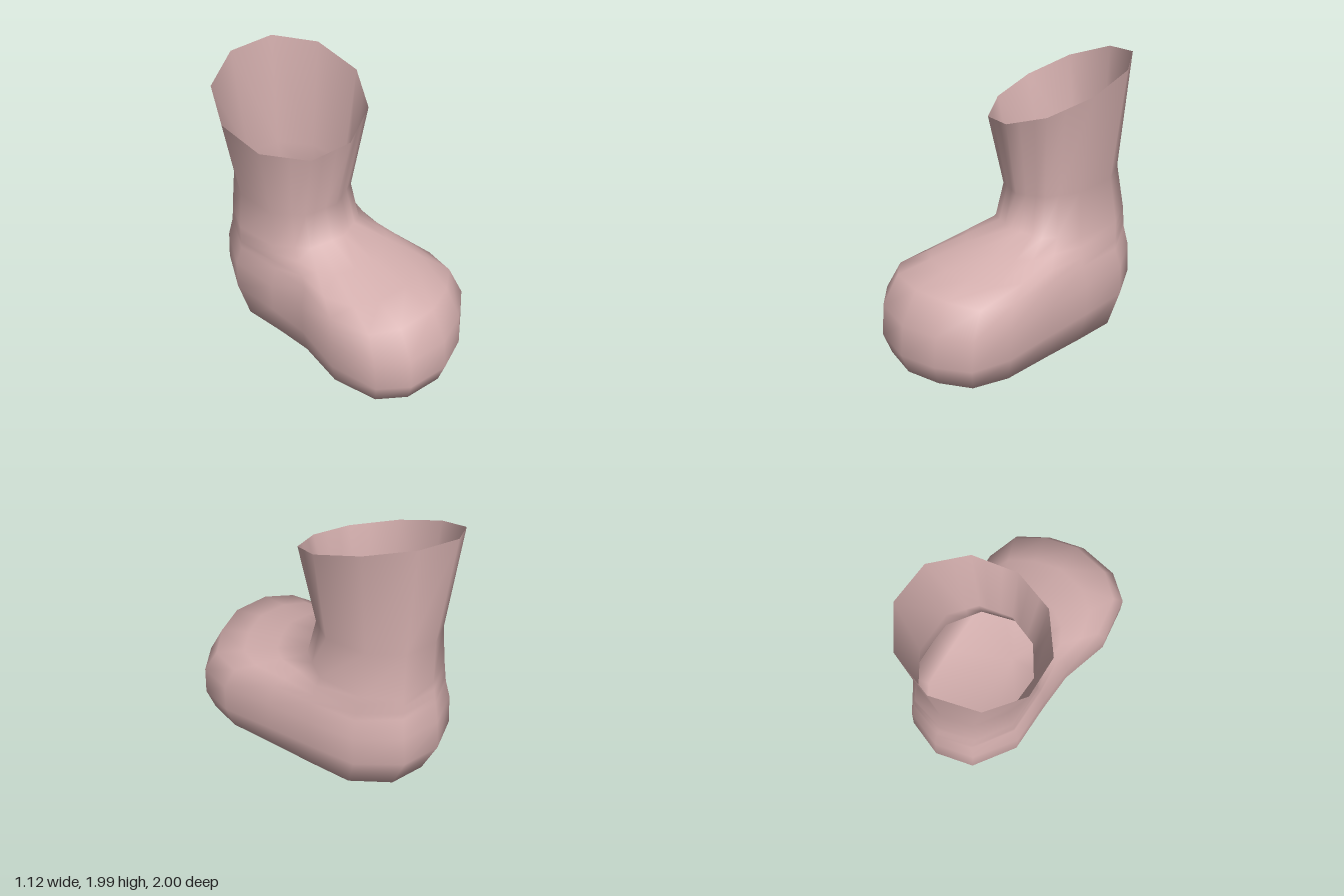
import * as THREE from 'three';

// Outline of the foot from above as [x, z], from the toe tip round by +x to the heel and back
const FOOT = [
  [0, 1], [0.27, 0.92], [0.49, 0.77], [0.56, 0.5], [0.53, 0.1], [0.51, -0.25], [0.48, -0.62], [0.28, -0.91],
  [0, -1], [-0.28, -0.92], [-0.47, -0.62], [-0.46, -0.25], [-0.465, 0.06], [-0.56, 0.44], [-0.5, 0.79], [-0.31, 0.95],
];

// Where each foot column meets the ten-sided shaft
const COLUMNS = [0, 0.35, 0.7, 1, 1.4, 2, 3, 4, 5, 6, 7, 8, 8.6, 9, 9.3, 9.65];

// Ten-sided shaft sections as [x, y, z]
const INSTEP = [
  [0, 0.81, 0.04], [0.25, 0.8, -0.04], [0.4, 0.8, -0.27], [0.4, 0.81, -0.62], [0.25, 0.81, -0.85],
  [-0.02, 0.81, -0.91], [-0.27, 0.8, -0.84], [-0.415, 0.79, -0.6], [-0.41, 0.79, -0.28], [-0.26, 0.8, -0.04],
];
const ANKLE = [
  [-0.01, 1.06, -0.025], [0.22, 1.09, -0.095], [0.36, 1.12, -0.29], [0.35, 1.14, -0.6], [0.2, 1.14, -0.82],
  [-0.04, 1.13, -0.89], [-0.25, 1.1, -0.82], [-0.385, 1.07, -0.6], [-0.385, 1.05, -0.3], [-0.24, 1.05, -0.1],
];
const RIM = [
  [0.015, 1.61, 0.085], [0.31, 1.71, -0.02], [0.475, 1.84, -0.28], [0.445, 1.95, -0.62], [0.24, 1.99, -0.88],
  [-0.07, 1.95, -0.97], [-0.37, 1.84, -0.85], [-0.525, 1.71, -0.58], [-0.495, 1.61, -0.26], [-0.28, 1.57, 0.005],
];

const mix = (a, b, t) => a.map((v, i) => v + (b[i] - v) * t);
const shaftRing = (pts) => COLUMNS.map((c) => mix(pts[Math.floor(c)], pts[(Math.floor(c) + 1) % 10], c % 1));

// Scaled foot outline; height runs from yToe to yHeel and drops by crown at the sides
const footRing = (sx, sFront, sBack, yToe, yHeel, crown = 0) =>
  FOOT.map(([x, z]) => [
    x * sx,
    THREE.MathUtils.lerp(yHeel, yToe, (z + 1) / 2) - crown * x * x,
    z * (z > 0 ? sFront : sBack),
  ]);

function loft(rings) {
  const n = rings[0].length;
  const positions = rings.flat(2);
  const index = [];
  for (let r = 0; r < rings.length - 1; r++) {
    for (let j = 0; j < n; j++) {
      const k = (j + 1) % n;
      const a = r * n + j, b = r * n + k;
      index.push(a, b, b + n, a, b + n, a + n);
    }
  }
  // Flat sole closing the first ring
  const centre = positions.length / 3;
  positions.push(0, 0, 0);
  for (let j = 0; j < n; j++) index.push(centre, (j + 1) % n, j);

  const geometry = new THREE.BufferGeometry();
  geometry.setAttribute('position', new THREE.Float32BufferAttribute(positions, 3));
  geometry.setIndex(index);
  geometry.computeVertexNormals();
  return geometry;
}

export function createModel() {
  const group = new THREE.Group();
  group.name = 'boot';

  const shoulder = footRing(0.91, 0.86, 0.95, 0.61, 0.66, 0.17);
  const instep = shaftRing(INSTEP);
  const blend = (t) => shoulder.map((p, j) => mix(p, instep[j], t));

  const rings = [
    footRing(0.9, 0.95, 0.885, 0, 0),
    footRing(0.99, 1, 1, 0.15, 0.27),
    footRing(1, 0.98, 0.98, 0.38, 0.5),
    shoulder,
    blend(0.3),
    blend(0.65),
    instep,
    shaftRing(ANKLE),
    shaftRing(RIM),
  ];

  // Foot, shaft and sole in one smooth open shell
  const material = new THREE.MeshStandardMaterial({ color: 0xd4afae, side: THREE.DoubleSide });
  const shell = new THREE.Mesh(loft(rings), material);
  shell.name = 'bootShell';
  group.add(shell);
  return group;
}
